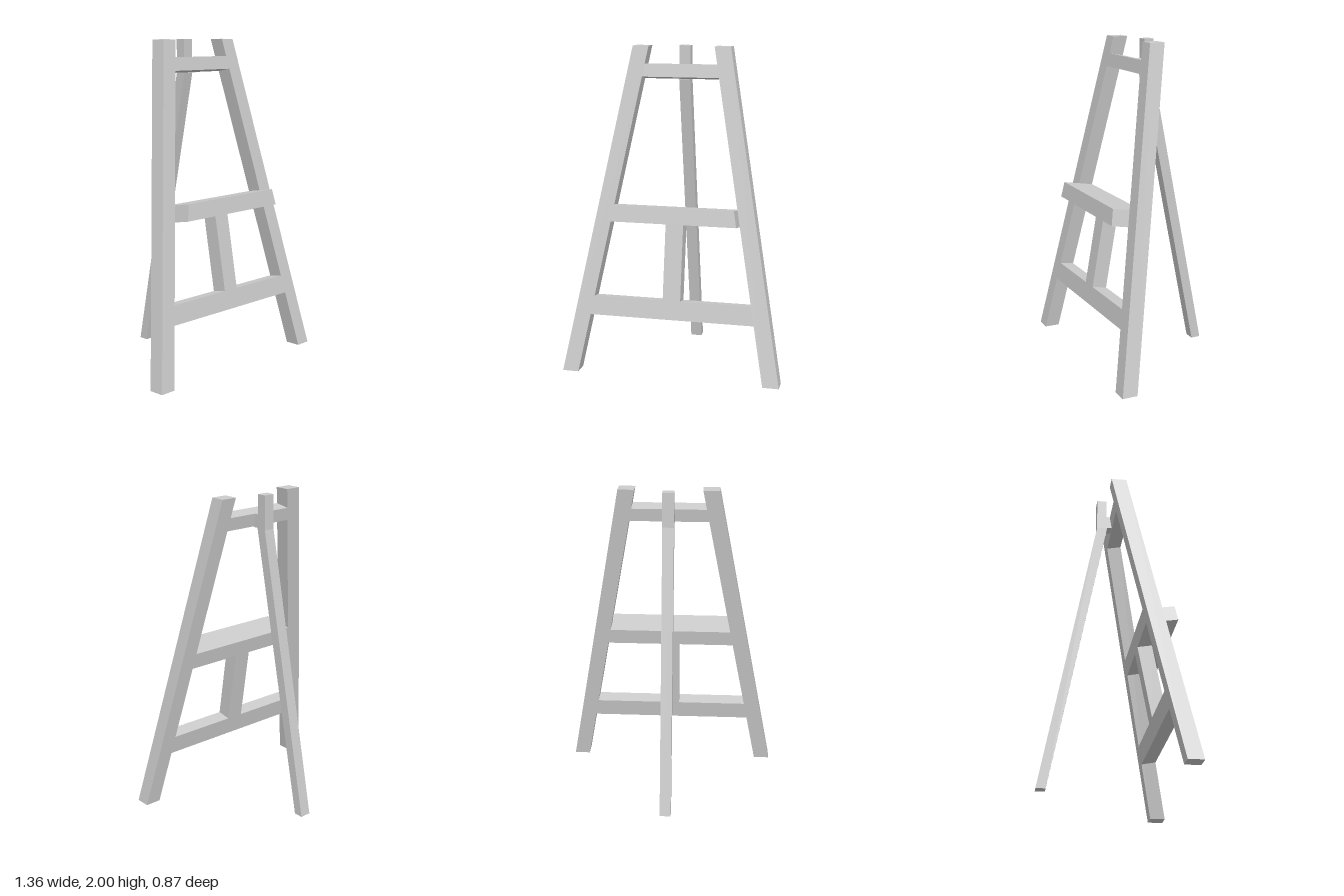
import * as THREE from 'three';

const material = new THREE.MeshStandardMaterial({ color: 0xcccccc, flatShading: true });

const SLOPE = 0.179;                               // backward lean of the front frame
const frontZ = (y) => 0.435 - SLOPE * y;           // front plane of the frame
const legX = (y) => 0.63 - 0.1875 * y;             // centre line of a front leg
const innerX = (y) => legX(y) - 0.05;              // inner side of a front leg

// Sweep a [z, y] profile across x; xAt(t, y) places the two ends (t = -1 and 1)
function prism(name, profile, xAt) {
  const shape = new THREE.Shape(profile.map(([z, y]) => new THREE.Vector2(z, y)));
  const geo = new THREE.ExtrudeGeometry(shape, { depth: 2, bevelEnabled: false });
  geo.rotateY(-Math.PI / 2).translate(1, 0, 0);
  const p = geo.attributes.position;
  for (let i = 0; i < p.count; i++) p.setX(i, xAt(Math.sign(p.getX(i)), p.getY(i)));
  geo.computeVertexNormals();
  const mesh = new THREE.Mesh(geo, material);
  mesh.name = name;
  return mesh;
}

// Cross-section square to the leaning frame, standing proud of it by `proud`
function leaningProfile(lo, hi, proud = 0) {
  const at = (y, d) => [frontZ(y) + d, y + SLOPE * d];
  return [at(lo, -0.092), at(lo, proud), at(hi, proud), at(hi, -0.092)];
}

export function createModel() {
  const group = new THREE.Group();
  group.name = 'easel';

  // Two splayed front legs
  const legProfile = [[0.34, 0], [0.435, 0], [0.077, 2], [-0.018, 2]];
  for (const side of [1, -1]) {
    group.add(prism(side > 0 ? 'leftLeg' : 'rightLeg', legProfile,
      (t, y) => side * legX(y) + 0.05 * t));
  }

  // Crosspieces fitted between the legs
  const between = (t, y) => t * innerX(y);
  group.add(prism('bottomRail', leaningProfile(0.36, 0.475), between));
  group.add(prism('shelf', leaningProfile(0.942, 1.04, 0.105), between));
  group.add(prism('topRail', leaningProfile(1.815, 1.895), between));

  // Short post from bottom rail to shelf
  group.add(prism('centrePost', leaningProfile(0.475, 0.942), (t) => 0.055 * t));

  // Rear leg with an upright head notched against the top rail
  group.add(prism('rearLeg', [
    [-0.435, 0], [-0.375, 0], [-0.015, 1.795], [0.015, 1.795], [0.002, 1.878],
    [-0.02, 1.878], [-0.02, 2], [-0.082, 2], [-0.082, 1.79],
  ], (t) => 0.035 * t));

  return group;
}
